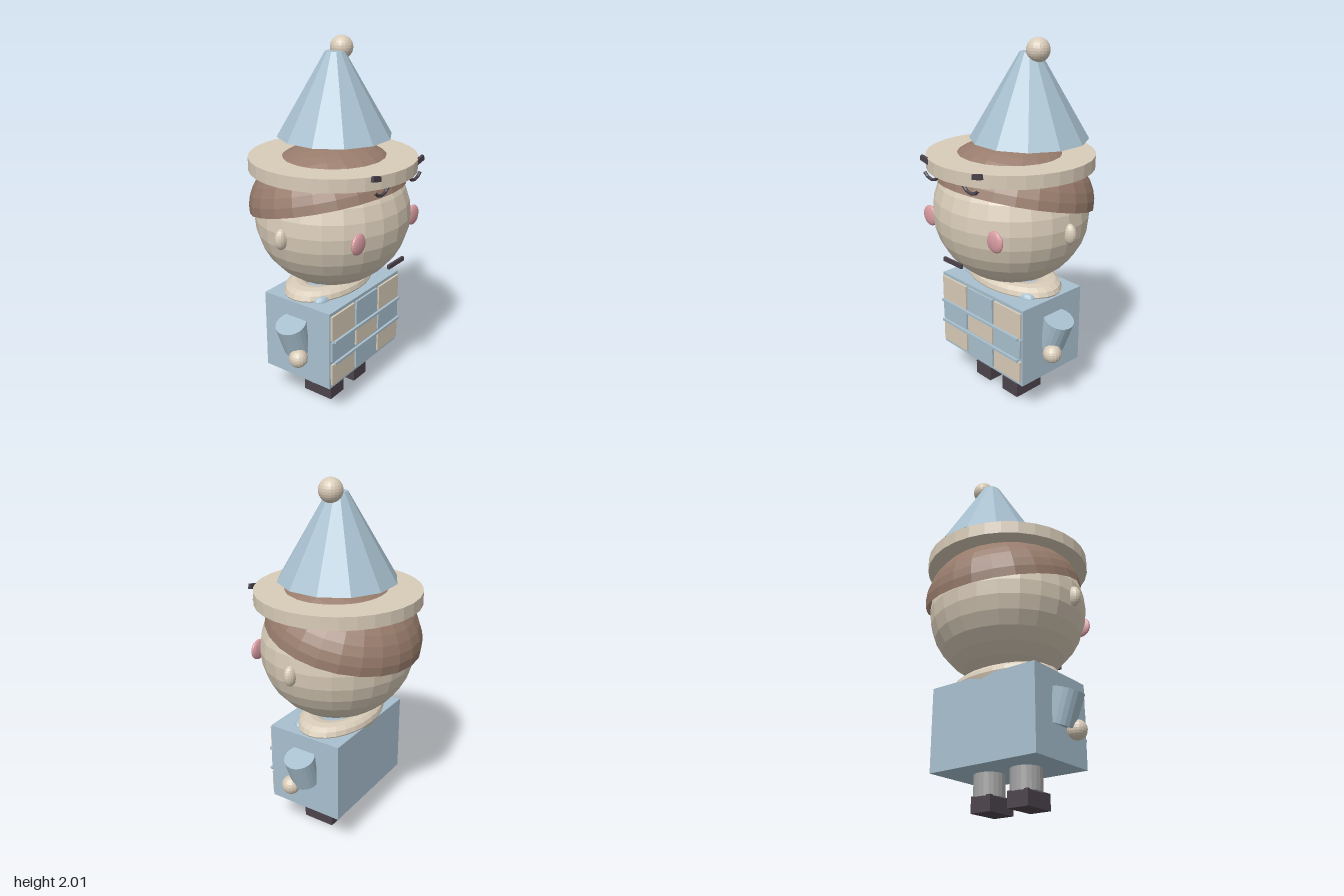
import * as THREE from 'three';

export function createModel() {
  const root = new THREE.Group();
  const mat = (name, color, extra = {}) => {
    const m = new THREE.MeshStandardMaterial({ color, flatShading: true, ...extra });
    m.name = name;
    return m;
  };
  const blue = mat('dusty blue', 0xa8c0cf);
  const cream = mat('cream', 0xd8cbb8);
  const brown = mat('hair brown', 0x987c6c, { side: THREE.DoubleSide });
  const pink = mat('blush pink', 0xd89ca2);
  const grey = mat('trouser grey', 0xa4a3a3);
  const dark = mat('dark plum', 0x4c444c);

  const add = (name, geo, material, x, y, z) => {
    const m = new THREE.Mesh(geo, material);
    m.name = name;
    m.position.set(x, y, z);
    root.add(m);
    return m;
  };
  const box = (w, h, d) => new THREE.BoxGeometry(w, h, d);
  const ball = (rx, ry, rz, ws = 16, hs = 12) =>
    new THREE.SphereGeometry(1, ws, hs).scale(rx, ry, rz);

  // Head and the tilted cap of hair
  add('head', ball(0.44, 0.4, 0.42, 24, 16), cream, 0, 1.08, 0.01);
  const hair = new THREE.SphereGeometry(1, 24, 10, 0, Math.PI * 2, 0, Math.PI / 2).scale(0.44, 0.317, 0.43);
  add('hair', hair, brown, 0, 1.16, -0.025).rotation.x = -0.24;

  // Hat: brim, floating cone and pompom
  add('hatBrim', new THREE.CylinderGeometry(0.453, 0.453, 0.07, 32), cream, 0, 1.37, 0.01);
  add('hatCone', new THREE.CylinderGeometry(0.052, 0.315, 0.445, 12), blue, 0.085, 1.708, -0.042)
    .rotation.y = Math.PI / 12;
  add('pompom', ball(0.062, 0.062, 0.062, 20, 14), cream, 0.145, 1.943, -0.042);

  // Torso with flattened collar
  add('torso', box(0.67, 0.457, 0.443), blue, 0, 0.427, 0.013);
  const collar = new THREE.TorusGeometry(0.24, 0.085, 12, 28).rotateX(Math.PI / 2).scale(1, 0.56, 0.62);
  add('collar', collar, cream, 0, 0.663, -0.015);

  // Checkered front panels and trim bars
  const columns = [-0.222, 0, 0.222];
  const rows = [[0.565, 0.145], [0.425, 0.115], [0.285, 0.125]];
  rows.forEach(([y, h], r) => columns.forEach((x, c) =>
    add('frontPanel', box(0.207, h, 0.012), (r + c) % 2 ? blue : cream, x, y, 0.241)));
  for (const y of [0.49, 0.36]) add('trimBar', box(0.64, 0.014, 0.014), blue, 0, y, 0.258);

  // Mouth
  add('mouth', box(0.145, 0.023, 0.014), dark, 0, 0.88, 0.42);

  for (const s of [-1, 1]) {
    // Face details
    add('ear', ball(0.04, 0.056, 0.031), cream, s * 0.439, 1.058, 0.01);
    add('cheek', ball(0.058, 0.057, 0.02), pink, s * 0.262, 1.058, 0.36);
    add('eyebrow', box(0.11, 0.028, 0.016), dark, s * 0.187, 1.39, 0.42).rotation.z = s * 0.2;
    const arc = 1.8;
    const eye = new THREE.TorusGeometry(0.075, 0.009, 6, 4, arc).rotateZ(-Math.PI / 2 - arc / 2);
    add('closedEye', eye, dark, s * 0.158, 1.373, 0.42);

    // Shoulder bump beside the collar
    add('shoulder', ball(0.06, 0.035, 0.04), blue, s * 0.22, 0.652, 0.1);

    // Arms lean outward at the top
    add('arm', new THREE.CylinderGeometry(0.085, 0.078, 0.18, 20), blue, s * 0.353, 0.465, 0.01)
      .rotation.z = -s * 0.33;
    add('hand', ball(0.052, 0.052, 0.052), cream, s * 0.39, 0.36, 0.065);

    // Legs and shoes
    add('leg', new THREE.CylinderGeometry(0.083, 0.083, 0.125, 20), grey, s * 0.118, 0.142, 0.01);
    add('shoe', box(0.125, 0.085, 0.19), dark, s * 0.116, 0.0425, 0.032);
  }
  return root;
}
